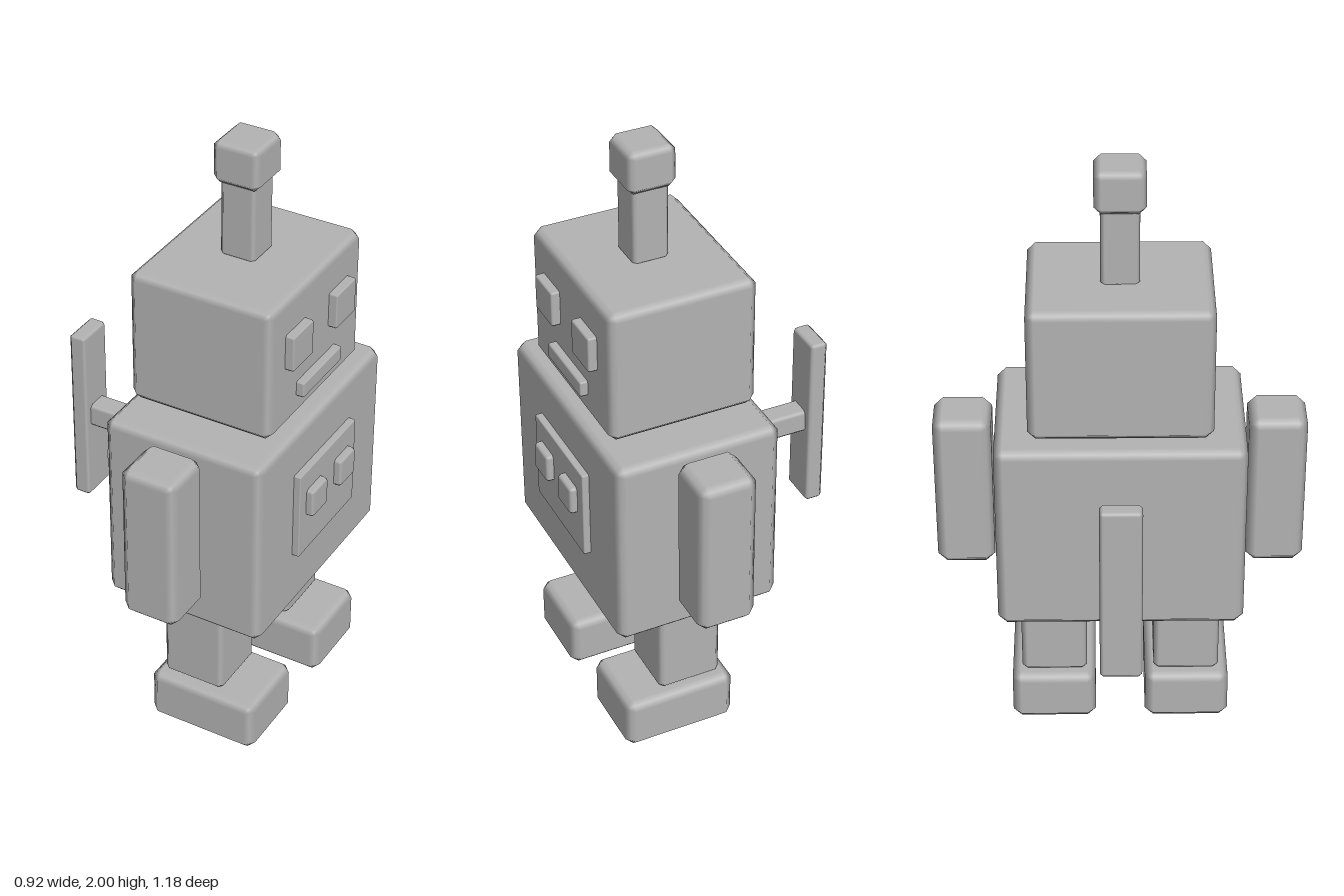
import * as THREE from 'three';

// Box with a chamfer of width r on every edge and softly blended normals.
function chamferBox(w, h, d, r) {
  const geometry = new THREE.BoxGeometry(1, 1, 1, 3, 3, 3);
  const half = [w / 2, h / 2, d / 2];
  const pos = geometry.attributes.position;
  const nor = geometry.attributes.normal;
  for (let i = 0; i < pos.count; i++) {
    const c = [pos.getX(i), pos.getY(i), pos.getZ(i)];
    const outer = c.map((v) => Math.abs(v) > 0.4);
    const n = outer.filter(Boolean).length;
    const p = c.map((v, k) => Math.sign(v) * (half[k] - (outer[k] ? (r * (n - 1)) / n : r)));
    const m = c.map((v, k) => (outer[k] ? Math.sign(v) / Math.sqrt(n) : 0));
    pos.setXYZ(i, ...p);
    nor.setXYZ(i, ...m);
  }
  return geometry;
}

export function createModel() {
  const model = new THREE.Group();
  model.name = 'toyRobot';
  const grey = new THREE.MeshStandardMaterial({ color: 0xb3b3b3 });
  grey.name = 'plain grey';

  // Adds a block given its extents along each axis.
  const block = (name, [x0, x1], [y0, y1], [z0, z1], r) => {
    const mesh = new THREE.Mesh(chamferBox(x1 - x0, y1 - y0, z1 - z0, r), grey);
    mesh.position.set((x0 + x1) / 2, (y0 + y1) / 2, (z0 + z1) / 2);
    mesh.name = name;
    model.add(mesh);
  };
  // Adds a mirrored pair; the robot looks along +x, so its left is -z.
  const pair = (name, x, y, [z0, z1], r) => {
    block('right' + name, x, y, [z0, z1], r);
    block('left' + name, x, y, [-z1, -z0], r);
  };

  // Body, neck and head
  block('body', [-0.13, 0.412], [0.49, 1.15], [-0.392, 0.392], 0.028);
  block('neck', [0.08, 0.2], [1.1, 1.16], [-0.06, 0.06], 0.01);
  block('head', [-0.1, 0.381], [1.17, 1.62], [-0.286, 0.286], 0.026);

  // Antenna
  block('antennaRod', [0.08, 0.198], [1.61, 1.87], [-0.06, 0.06], 0.014);
  block('antennaTip', [0.061, 0.217], [1.858, 2], [-0.079, 0.079], 0.022);

  // Limbs
  pair('Arm', [0.043, 0.234], [0.609, 1.15], [0.404, 0.588], 0.03);
  pair('Leg', [0.035, 0.247], [0.18, 0.495], [0.11, 0.325], 0.018);
  pair('Foot', [0, 0.375], [0, 0.184], [0.082, 0.358], 0.028);

  // Face
  pair('Eye', [0.36, 0.41], [1.383, 1.502], [0.073, 0.196], 0.006);
  block('mouth', [0.36, 0.407], [1.247, 1.3], [-0.121, 0.121], 0.006);

  // Chest panel with two buttons
  block('chestPanel', [0.38, 0.435], [0.7, 1.002], [-0.18, 0.18], 0.004);
  pair('Button', [0.41, 0.46], [0.833, 0.931], [0.041, 0.14], 0.01);

  // Wind-up key
  block('keyShaft', [-0.42, -0.125], [0.808, 0.89], [-0.042, 0.038], 0.012);
  block('keyHandle', [-0.464, -0.405], [0.543, 1.156], [-0.068, 0.062], 0.011);

  return model;
}
